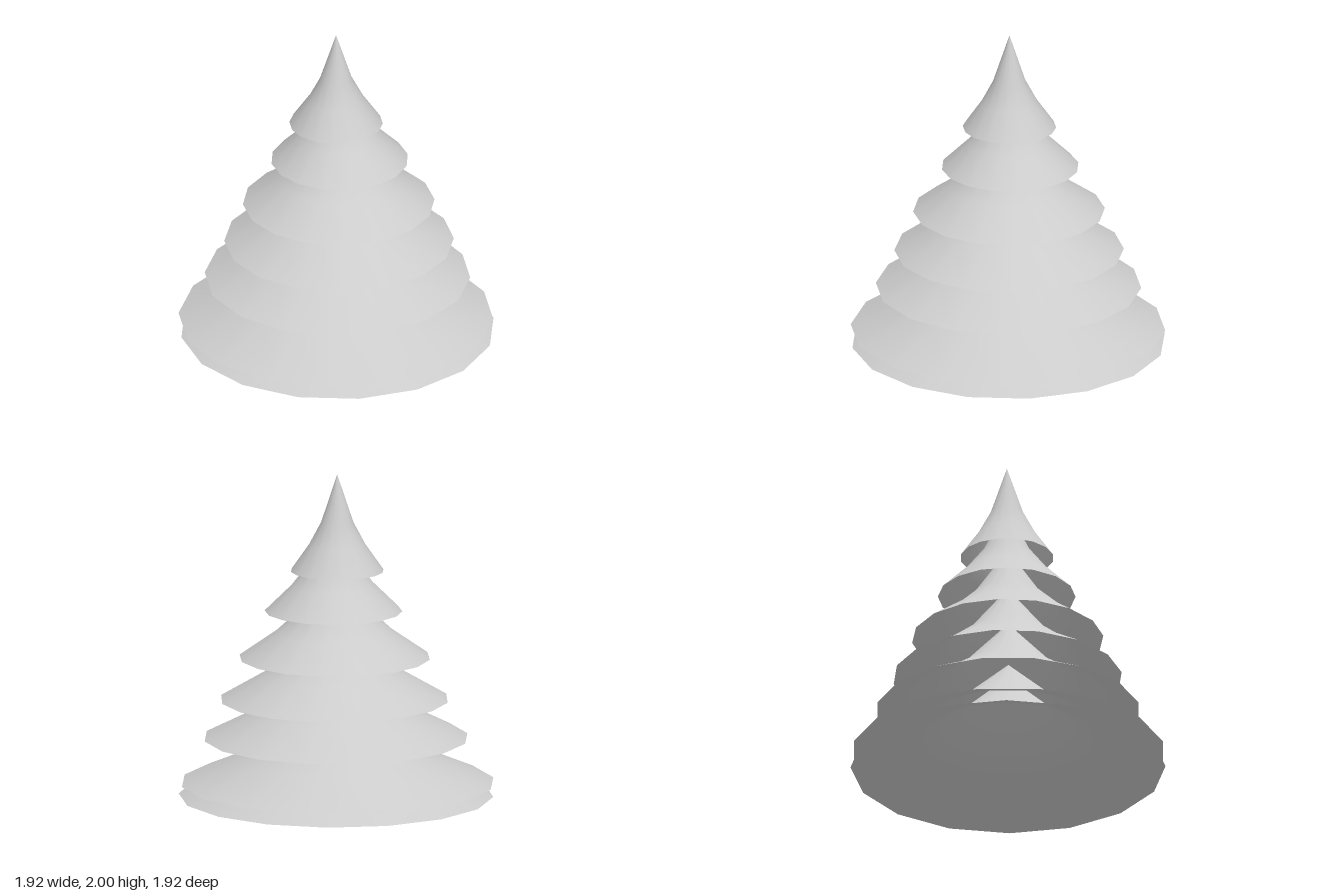
import * as THREE from 'three';

// Flared branch skirt profile: [fraction of rim radius, height above rim]
const PROFILE = [[1, 0], [0.61, 0.16], [0.35, 0.3], [0, 0.6]];

// Tiers from bottom to top: rim height, rim radius, centre x, centre z, turn in degrees
const TIERS = [
  [0, 0.96, 0.01, 0, 12],
  [0.08, 0.96, 0, 0, 0],
  [0.36, 0.81, 0.01, 0, 0],
  [0.6, 0.7, 0.02, 0, -4],
  [0.86, 0.585, 0.018, 0, -6],
  [1.15, 0.42, 0.026, -0.005, 11],
  [1.4, 0.285, 0.004, -0.008, 0],
];

export function createModel() {
  const tree = new THREE.Group();
  tree.name = 'pineTree';
  const material = new THREE.MeshStandardMaterial({ color: 0xcccccc, side: THREE.DoubleSide });

  // Each tier is an open, 16-sided flared cone that tucks inside the one above
  TIERS.forEach(([y, radius, x, z, turn], i) => {
    const points = PROFILE.map(([r, h]) => new THREE.Vector2(r * radius, h));
    const geometry = new THREE.LatheGeometry(points, 16, -THREE.MathUtils.degToRad(turn));
    const tier = new THREE.Mesh(geometry, material);
    tier.name = `branchTier${i + 1}`;
    tier.position.set(x, y, z);
    tree.add(tier);
  });

  return tree;
}
